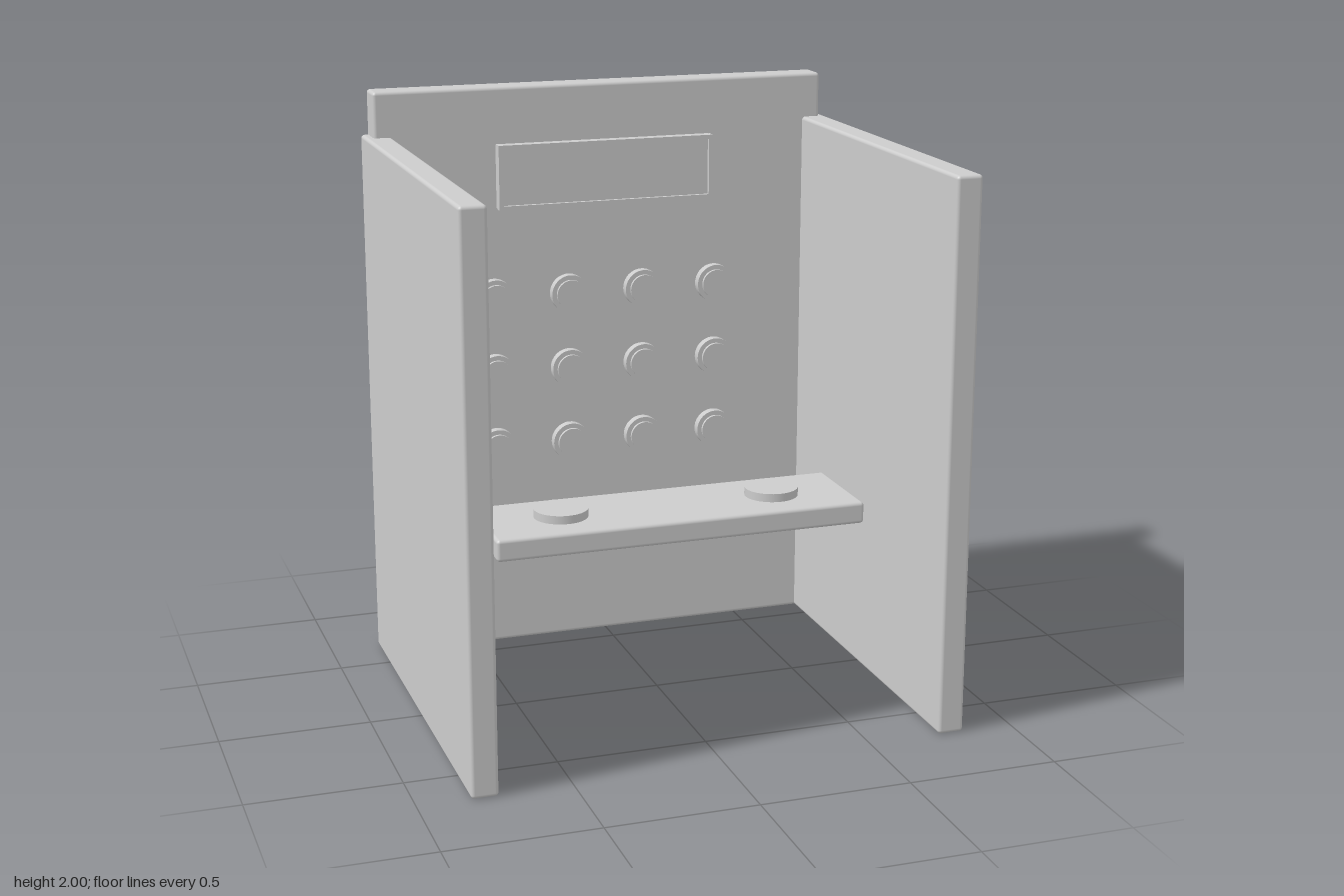
import * as THREE from 'three';
import { RoundedBoxGeometry } from 'three/addons/geometries/RoundedBoxGeometry.js';

export function createModel() {
  const model = new THREE.Group();
  model.name = 'booth';
  const grey = new THREE.MeshStandardMaterial({ color: 0xcccccc });
  grey.name = 'light grey';

  const add = (name, geometry, parent = model) => {
    const mesh = new THREE.Mesh(geometry, grey);
    mesh.name = name;
    parent.add(mesh);
    return mesh;
  };

  // Softly rounded board given by its limits on each axis
  const board = (name, [x0, x1], [y0, y1], [z0, z1], r = 0.012) => {
    const mesh = add(name, new RoundedBoxGeometry(x1 - x0, y1 - y0, z1 - z0, 3, r));
    mesh.position.set((x0 + x1) / 2, (y0 + y1) / 2, (z0 + z1) / 2);
    return mesh;
  };

  // Back wall, side walls and shelf
  board('backPanel', [-0.805, 0.805], [0, 2], [-0.69, -0.587]);
  board('leftPanel', [0.741, 0.829], [0, 1.846], [-0.69, 0.69]);
  board('rightPanel', [-0.829, -0.741], [0, 1.846], [-0.69, 0.69]);
  board('shelf', [-0.632, 0.632], [0.614, 0.688], [-0.07, 0.294]);

  // Round pads on the shelf
  for (const s of [-1, 1]) {
    const pad = add(s > 0 ? 'leftPad' : 'rightPad', new THREE.CylinderGeometry(0.09, 0.09, 0.03, 48));
    pad.position.set(s * 0.368, 0.701, 0.112);
  }

  // Display: backing, open frame and recessed screen
  const display = new THREE.Group();
  display.name = 'display';
  display.position.set(0, 1.695, 0);
  model.add(display);
  add('displayBacking', new THREE.BoxGeometry(0.77, 0.22, 0.022), display).position.z = -0.579;

  const rect = (path, w, h) => path
    .moveTo(-w, -h).lineTo(w, -h).lineTo(w, h).lineTo(-w, h).closePath();
  const outline = rect(new THREE.Shape(), 0.387, 0.112);
  outline.holes.push(rect(new THREE.Path(), 0.372, 0.098));
  const frame = new THREE.ExtrudeGeometry(outline, { depth: 0.033, bevelEnabled: false });
  add('displayFrame', frame, display).position.z = -0.57;
  add('screen', new THREE.BoxGeometry(0.744, 0.196, 0.02), display).position.z = -0.56;

  // Keypad: each button is a core with a wider collar
  const core = new THREE.CylinderGeometry(0.051, 0.051, 0.058, 40).rotateX(Math.PI / 2);
  const collar = new THREE.CylinderGeometry(0.067, 0.067, 0.032, 40).rotateX(Math.PI / 2);
  for (let row = 0; row < 3; row++) {
    for (let col = 0; col < 4; col++) {
      const button = new THREE.Group();
      button.name = `button${row * 4 + col + 1}`;
      button.position.set((col - 1.5) * 0.269, 1.272 - row * 0.269, 0);
      model.add(button);
      add('buttonCore', core, button).position.z = -0.563;
      add('buttonCollar', collar, button).position.z = -0.561;
    }
  }
  return model;
}
